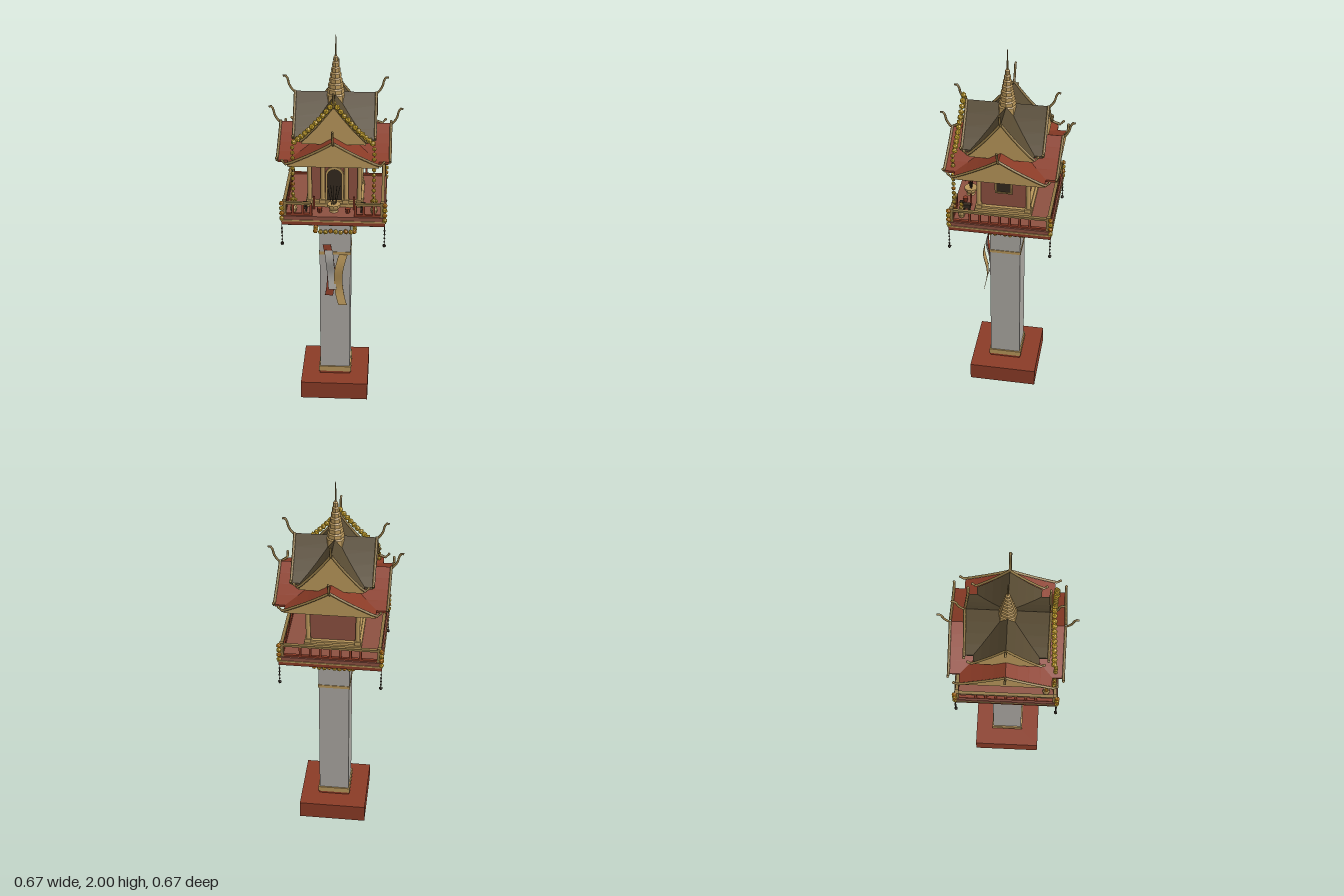
import * as THREE from 'three';

const mat = (name, color) => {
  const m = new THREE.MeshStandardMaterial({ color });
  m.name = name;
  return m;
};

export function createModel() {
  const red = mat('brick red', 0x8a3b26), wall = mat('wall red brown', 0x8c5040),
    gold = mat('antique gold', 0xb8965a), trim = mat('dark gold', 0x8f7644),
    roof = mat('roof brown', 0x574a32), grey = mat('stone grey', 0xaaa7a1),
    yellow = mat('marigold yellow', 0xd8b030), orange = mat('marigold orange', 0xd98b1c),
    dark = mat('dark wood', 0x33291e);
  const model = new THREE.Group();

  const add = (name, geo, m, x = 0, y = 0, z = 0, parent = model) => {
    const mesh = new THREE.Mesh(geo, m);
    mesh.name = name;
    mesh.position.set(x, y, z);
    parent.add(mesh);
    return mesh;
  };
  const box = (name, m, w, h, d, x, y, z, parent) =>
    add(name, new THREE.BoxGeometry(w, h, d), m, x, y, z, parent);
  const flat = (geo) => {
    const g = geo.toNonIndexed();
    g.computeVertexNormals();
    return g;
  };
  const v3 = (a) => a.map((p) => new THREE.Vector3(...p));
  const tube = (name, pts, r, m, parent) =>
    add(name, new THREE.TubeGeometry(new THREE.CatmullRomCurve3(v3(pts)), 10, r, 6), m, 0, 0, 0, parent);
  const bead = (name, m, r, x, y, z, i = 0) =>
    add(name, new THREE.IcosahedronGeometry(r, 0), m, x, y, z).rotation.set(i * 1.3, i * 0.7, i * 2.1);
  const lathe = (name, pts, segs, m, x, y, z) =>
    add(name, flat(new THREE.LatheGeometry(pts.map((p) => new THREE.Vector2(...p)), segs)), m, x, y, z);
  // Builds the same thing on each listed quarter turn (0 is the front)
  const sides = (name, turns, build) => turns.forEach((k) => {
    const g = new THREE.Group();
    g.name = name;
    g.rotation.y = k * Math.PI / 2;
    model.add(g);
    build(g, k);
  });

  // Plinth and post
  box('plinth', red, 0.36, 0.1, 0.36, 0, 0.05, 0);
  box('postFoot', red, 0.165, 0.02, 0.165, 0, 0.11, 0);
  box('postFootTrim', gold, 0.174, 0.03, 0.174, 0, 0.13, 0);
  box('post', grey, 0.16, 0.95, 0.16, 0, 0.575, 0);
  box('postBand', gold, 0.166, 0.016, 0.166, 0, 0.85, 0);

  // Garland round the post
  sides('postGarland', [0, 1, 2, 3], (g, k) => {
    for (let i = 0; i < 8; i++) {
      const m = add('garlandBead', new THREE.IcosahedronGeometry(0.0135, 0), i % 3 ? yellow : orange,
        -0.1 + i * 0.026, 0.985 + 0.003 * Math.cos(i * 2), 0.1, g);
      m.rotation.set(i + k, i * 2, i);
    }
  });

  // Cloth ribbons on the front of the post: [x, width] follow the drop
  const ribbon = (name, m, w, top, bottom, z, xs) => {
    const h = top - bottom, geo = new THREE.BoxGeometry(w, h, 0.002, 1, 14, 1);
    const p = geo.attributes.position;
    for (let i = 0; i < p.count; i++) {
      const t = 0.5 - p.getY(i) / h;
      const x = (1 - t) * (1 - t) * xs[0] + 2 * t * (1 - t) * xs[1] + t * t * xs[2];
      p.setX(i, p.getX(i) + x);
      p.setZ(i, p.getZ(i) + 0.009 * Math.sin(t * 7));
    }
    geo.computeVertexNormals();
    add(name, geo, m, 0, (top + bottom) / 2, z);
  };
  ribbon('redRibbon', red, 0.042, 0.91, 0.61, 0.1, [-0.042, -0.005, -0.03]);
  ribbon('greyRibbon', grey, 0.042, 0.88, 0.65, 0.107, [-0.03, -0.022, -0.012]);
  ribbon('goldRibbon', gold, 0.045, 0.86, 0.56, 0.113, [0.045, -0.008, 0.042]);

  // Flared bracket and deck
  const frustum = new THREE.CylinderGeometry(0.178 * Math.SQRT2, 0.095 * Math.SQRT2, 0.055, 4);
  add('bracket', flat(frustum.rotateY(Math.PI / 4)), gold, 0, 1.073, 0);
  box('deckUnderside', gold, 0.49, 0.008, 0.49, 0, 1.099, 0);
  box('deckLower', red, 0.515, 0.02, 0.515, 0, 1.112, 0);
  box('deckTrim', gold, 0.522, 0.008, 0.522, 0, 1.126, 0);
  box('deck', wall, 0.515, 0.02, 0.515, 0, 1.14, 0);

  // Railings, with a gap in the middle of the front
  const R = 0.243;
  sides('railing', [0, 1, 2, 3], (g, k) => {
    box('railPost', trim, 0.02, 0.08, 0.02, R, 1.19, R, g);
    const runs = k ? [[0, 0.48]] : [[-0.175, 0.13], [0.175, 0.13]];
    runs.forEach(([x, w]) => {
      box('topRail', trim, w, 0.012, 0.016, x, 1.216, R, g);
      box('bottomRail', red, w, 0.01, 0.014, x, 1.156, R, g);
    });
    const xs = k ? [-3, -2, -1, 0, 1, 2, 3].map((i) => i * 0.05) : [-0.2, -0.15, -0.11, 0.11, 0.15, 0.2];
    xs.forEach((x) => box('baluster', red, 0.012, 0.065, 0.012, x, 1.182, R, g));
  });

  // Shrine body
  box('bodyStep', gold, 0.29, 0.016, 0.29, 0, 1.157, 0);
  box('bodySill', gold, 0.265, 0.012, 0.265, 0, 1.17, 0);
  box('body', wall, 0.23, 0.26, 0.23, 0, 1.3, 0);
  box('architrave', gold, 0.28, 0.022, 0.28, 0, 1.428, 0);
  const column = (x, z) => {
    add('column', new THREE.CylinderGeometry(0.011, 0.012, 0.26, 10), gold, x, 1.3, z);
    box('columnFoot', gold, 0.032, 0.02, 0.032, x, 1.175, z);
    box('columnHead', gold, 0.03, 0.016, 0.03, x, 1.412, z);
  };
  for (const s of [-1, 1]) {
    column(s * 0.125, 0.125);
    column(s * 0.125, -0.125);
    column(s * 0.058, 0.125);
  }

  // Arched door
  const arch = (w, h) => {
    const s = new THREE.Shape();
    s.moveTo(-w, 0).lineTo(w, 0).lineTo(w, h - w);
    s.absarc(0, h - w, w, 0, Math.PI, false);
    return s;
  };
  const frame = arch(0.046, 0.185);
  frame.holes.push(arch(0.036, 0.172));
  add('doorFrame', new THREE.ExtrudeGeometry(frame, { depth: 0.012, bevelEnabled: false }), gold, 0, 1.175, 0.114);
  add('door', new THREE.ExtrudeGeometry(arch(0.037, 0.174), { depth: 0.005, bevelEnabled: false }), dark, 0, 1.175, 0.114);

  // Side windows
  sides('window', [1, 3], (g) => {
    box('windowPane', dark, 0.075, 0.09, 0.006, 0, 1.31, 0.117, g);
    for (const s of [-1, 1]) {
      box('windowJamb', trim, 0.008, 0.1, 0.012, s * 0.04, 1.31, 0.118, g);
      box('windowRail', trim, 0.088, 0.008, 0.012, 0, 1.31 + s * 0.048, 0.118, g);
    }
  });

  // Crossed gable roofs, each a sagging chevron with pediments, bargeboards and finials
  const gableTier = (name, m, half, verge, eaveY, ridgeY, bargeHalf) => {
    const h = ridgeY - eaveY, T = 0.012;
    const yAt = (t) => ridgeY - h * (t + 0.22 * t * (1 - t));
    const steps = [0, 0.25, 0.5, 0.75, 1];
    const right = steps.map((t) => [t * half, yAt(t)]);
    const left = right.slice(1).reverse().map(([x, y]) => [-x, y]);
    const top = [...left, ...right];
    const under = top.map(([x, y]) => [x, y - T]).reverse();
    const chevron = new THREE.Shape([...top, ...under].map((p) => new THREE.Vector2(...p)));
    const pediment = new THREE.Shape([...top.map(([x, y]) => [x, y - T / 2]), [half, eaveY - T], [-half, eaveY - T]]
      .map((p) => new THREE.Vector2(...p)));
    sides(name, [0, 1], (g) => add('roofSlopes',
      new THREE.ExtrudeGeometry(chevron, { depth: verge * 2, bevelEnabled: false }), m, 0, 0, -verge, g));
    sides(name + 'Gable', [0, 1, 2, 3], (g) => {
      add('pediment', new THREE.ExtrudeGeometry(pediment, { depth: 0.006, bevelEnabled: false }), gold, 0, 0, verge - 0.004, g);
      const z = verge + 0.005;
      for (const s of [-1, 1]) {
        const pts = steps.map((t) => [s * t * bargeHalf * 0.95, yAt(t) + 0.003, z]);
        pts.push([s * bargeHalf, eaveY + 0.004, z], [s * (bargeHalf + 0.008), eaveY + 0.022, z]);
        tube('bargeboard', pts, 0.0065, trim, g);
        add('bargeTip', new THREE.SphereGeometry(0.007, 8, 6), trim, s * (bargeHalf + 0.008), eaveY + 0.022, z, g);
      }
      // Hooked finial at the ridge end
      tube('ridgeFinial', [[0, ridgeY - 0.015, z - 0.012], [0, ridgeY + 0.005, z + 0.012], [0, ridgeY + 0.035, z + 0.03],
        [0, ridgeY + 0.065, z + 0.037], [0, ridgeY + 0.08, z + 0.05], [0, ridgeY + 0.076, z + 0.058]], 0.0058, trim, g);
    });
  };
  gableTier('lowerRoof', red, 0.222, 0.27, 1.437, 1.55, 0.238);
  gableTier('upperRoof', roof, 0.157, 0.195, 1.525, 1.712, 0.172);

  // Ringed spire and needle
  const rings = [[0.05, 1.66]];
  for (let i = 0; i < 8; i++) {
    const r = 0.048 - i * 0.005, y = 1.685 + i * 0.027;
    rings.push([r, y], [r - 0.001, y + 0.016], [r - 0.007, y + 0.022]);
  }
  rings.push([0.006, 1.9], [0, 1.905]);
  lathe('spire', rings, 8, gold, 0, 0, 0);
  add('needle', new THREE.CylinderGeometry(0.002, 0.005, 0.11, 6), trim, 0, 1.945, 0);

  // Marigold garland draped over the front gable, its ends hanging down
  for (const s of [-1, 1]) {
    for (let i = s < 0 ? 0 : 1; i < 12; i++) {
      const t = i / 11;
      bead('gableGarlandBead', yellow, 0.0155, s * t * 0.19, 1.735 - 0.2 * t - 0.05 * t * (1 - t), 0.215 + 0.012 * t, i);
    }
    for (let i = 0; i < 12; i++)
      bead('hangingBead', i % 4 === 3 ? orange : yellow, 0.0115, s * 0.198, 1.51 - i * 0.0275, 0.236, i);
    add('garlandString', new THREE.CylinderGeometry(0.0015, 0.0015, 0.32, 5), dark, s * 0.198, 1.36, 0.236);
  }

  // Tassels on the four deck corners
  for (const x of [-0.255, 0.255]) for (const z of [-0.255, 0.255]) {
    for (let i = 0; i < 4; i++) bead('tasselBead', i % 2 ? yellow : orange, 0.0135, x, 1.218 - i * 0.027, z, i);
    add('tasselString', new THREE.CylinderGeometry(0.0018, 0.0018, 0.13, 5), dark, x, 1.06, z);
    for (let i = 0; i < 5; i++) bead('tasselDrop', dark, i === 4 ? 0.01 : 0.0055, x, 1.08 - i * 0.021, z, i);
  }

  // Offerings on the porch: incense bowl, vases, cups and small animals
  lathe('incenseBowl', [[0, 0], [0.022, 0], [0.018, 0.008], [0.034, 0.03], [0.034, 0.04], [0, 0.036]], 10, gold, 0, 1.15, 0.19);
  for (let i = 0; i < 5; i++) {
    const a = (i - 2) * 0.11;
    add('incenseStick', new THREE.CylinderGeometry(0.0018, 0.0018, 0.11, 5), dark,
      a * 0.09, 1.235, 0.19 + 0.006 * Math.cos(i * 2.5)).rotation.z = -a;
  }
  for (const s of [-1, 1]) {
    lathe('vase', [[0, 0], [0.013, 0], [0.019, 0.02], [0.009, 0.042], [0.013, 0.055], [0, 0.055]], 8, gold, s * 0.2, 1.15, 0.2);
    for (let i = 0; i < 3; i++) bead('vaseFlower', i ? yellow : orange, 0.0095, s * 0.2 + (i - 1) * 0.011, 1.215 + (i % 2) * 0.012, 0.2, i);
    lathe('offeringCup', [[0, 0], [0.01, 0], [0.014, 0.024], [0, 0.022]], 8, red, s * 0.07, 1.15, 0.205);
    box('candle', red, 0.009, 0.07, 0.009, s * 0.1, 1.185, 0.17);
    // Standing animal figure
    box('figureBody', dark, 0.022, 0.022, 0.042, s * 0.145, 1.179, 0.185);
    box('figureHead', dark, 0.018, 0.02, 0.018, s * 0.145, 1.194, 0.21);
    for (const lx of [-0.007, 0.007]) for (const lz of [-0.014, 0.014])
      box('figureLeg', dark, 0.007, 0.02, 0.007, s * 0.145 + lx, 1.16, 0.185 + lz);
  }
  return model;
}
